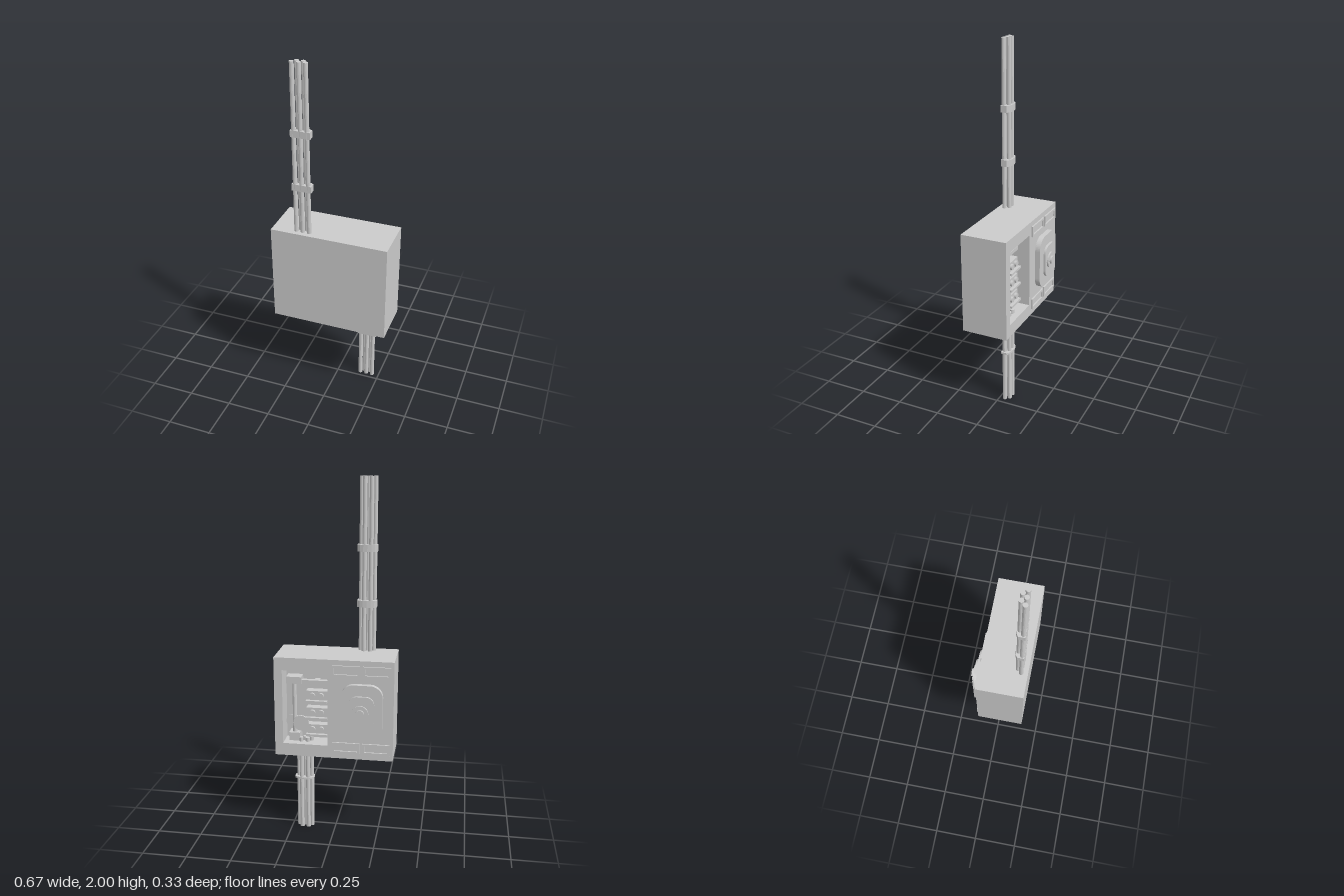
import * as THREE from 'three';

const mat = new THREE.MeshStandardMaterial({ color: 0xcccccc, flatShading: true });

function add(parent, name, geo, x = 0, y = 0, z = 0) {
  const m = new THREE.Mesh(geo, mat);
  m.name = name;
  m.position.set(x, y, z);
  parent.add(m);
  return m;
}

// Box given by its min and max corners
function block(parent, name, x0, x1, y0, y1, z0, z1) {
  return add(parent, name, new THREE.BoxGeometry(x1 - x0, y1 - y0, z1 - z0),
    (x0 + x1) / 2, (y0 + y1) / 2, (z0 + z1) / 2);
}

function rectPath(path, x0, x1, y0, y1) {
  path.moveTo(x0, y0);
  path.lineTo(x1, y0);
  path.lineTo(x1, y1);
  path.lineTo(x0, y1);
  path.closePath();
  return path;
}

function extrude(shape, depth) {
  return new THREE.ExtrudeGeometry(shape, { depth, bevelEnabled: false, curveSegments: 6 });
}

// Rectangular frame lying in the xy plane
function frameGeo(outer, inner, depth) {
  const s = rectPath(new THREE.Shape(), ...outer);
  s.holes.push(rectPath(new THREE.Path(), ...inner));
  return extrude(s, depth);
}

// Rounded rectangle centred on the origin
function roundedPlate(w, h, r, depth) {
  const s = new THREE.Shape();
  const a = w / 2 - r, b = h / 2 - r;
  s.absarc(a, b, r, 0, Math.PI / 2);
  s.absarc(-a, b, r, Math.PI / 2, Math.PI);
  s.absarc(-a, -b, r, Math.PI, Math.PI * 1.5);
  s.absarc(a, -b, r, Math.PI * 1.5, Math.PI * 2);
  s.closePath();
  return extrude(s, depth);
}

// Disc facing the panel side
function disc(parent, name, r, x, y, z0, z1) {
  const g = new THREE.CylinderGeometry(r, r, z1 - z0, 20).rotateX(Math.PI / 2);
  return add(parent, name, g, x, y, (z0 + z1) / 2);
}

// Five wires: three in one row, two nested against them
function wireBundle(name, cx, z, y0, y1) {
  const g = new THREE.Group();
  g.name = name;
  const wires = [[-0.037, 0], [0, 0], [0.037, 0], [-0.018, -0.021], [0.018, -0.021]];
  for (const [dx, dz] of wires) {
    add(g, 'wire', new THREE.CylinderGeometry(0.0122, 0.0122, y1 - y0, 14), cx + dx, (y0 + y1) / 2, z + dz);
  }
  return g;
}

// Cable clip: flat on one side and arched on the other
function clip(parent, cx, z, y0, y1) {
  const s = new THREE.Shape();
  s.moveTo(-0.055, 0.012);
  s.lineTo(-0.055, -0.024);
  s.bezierCurveTo(-0.035, -0.047, 0.035, -0.047, 0.055, -0.024);
  s.lineTo(0.055, 0.012);
  s.closePath();
  const g = extrude(s, y1 - y0).rotateX(Math.PI / 2);
  add(parent, 'cableClip', g, cx, y1, z);
}

export function createModel() {
  const root = new THREE.Group();
  root.name = 'junctionBox';

  // Housing with an open compartment in the panel side
  const back = -0.102, floor = 0.012;
  const housing = new THREE.Group();
  housing.name = 'housing';
  root.add(housing);
  add(housing, 'panelWall', frameGeo([-0.333, 0.333, 0.465, 1.04], [0.033, 0.287, 0.537, 0.968], floor - back), 0, 0, back);
  block(housing, 'mountingSlab', -0.333, 0.333, 0.465, 1.04, floor, 0.163);

  // Label frames above and below the dial
  for (const [y0, y1] of [[0.948, 1.01], [0.5, 0.562]]) {
    for (const [x0, x1] of [[-0.315, -0.163], [-0.147, 0.008]]) {
      add(root, 'labelFrame', frameGeo([x0, x1, y0, y1], [x0 + 0.012, x1 - 0.012, y0 + 0.012, y1 - 0.012], 0.01), 0, 0, -0.111);
    }
  }

  // Stepped dial
  const dial = new THREE.Group();
  dial.name = 'dial';
  dial.position.set(-0.16, 0.755, 0);
  root.add(dial);
  add(dial, 'dialBase', roundedPlate(0.23, 0.31, 0.07, 0.03), 0, 0, -0.131);
  add(dial, 'dialNeck', roundedPlate(0.12, 0.17, 0.04, 0.006), 0, 0, -0.136);
  add(dial, 'dialPlate', roundedPlate(0.14, 0.19, 0.045, 0.012), 0, 0, -0.147);
  disc(dial, 'dialRing', 0.046, 0.006, 0, -0.156, -0.146);
  disc(dial, 'dialKnob', 0.024, 0.006, 0, -0.166, -0.155);

  // Terminal blocks with screws
  const inside = new THREE.Group();
  inside.name = 'terminals';
  root.add(inside);
  for (const y of [0.6, 0.7, 0.8]) {
    block(inside, 'terminalBlock', 0.045, 0.165, y - 0.033, y + 0.033, -0.035, floor);
    block(inside, 'terminalStep', 0.045, 0.165, y - 0.033, y - 0.02, -0.055, -0.035);
    for (const x of [0.08, 0.13]) disc(inside, 'terminalScrew', 0.017, x, y + 0.006, -0.048, -0.034);
  }
  block(inside, 'crossBar', 0.04, 0.2, 0.875, 0.895, -0.035, -0.01);
  block(inside, 'crossBarFoot', 0.09, 0.12, 0.875, 0.895, -0.01, floor);

  // Upright switch post with bracket, discs and foot
  add(inside, 'switchPost', new THREE.CylinderGeometry(0.012, 0.012, 0.36, 12), 0.232, 0.72, -0.03);
  block(inside, 'postBracket', 0.19, 0.275, 0.875, 0.915, -0.05, floor);
  block(inside, 'postFoot', 0.2, 0.262, 0.537, 0.585, -0.055, floor);
  disc(inside, 'contactDisc', 0.045, 0.195, 0.64, -0.045, -0.035);
  disc(inside, 'contactDisc', 0.04, 0.245, 0.64, -0.018, -0.008);

  // Upper cables with two clips
  const upper = wireBundle('upperCables', -0.158, 0.125, 1.0, 2.0);
  root.add(upper);
  clip(upper, -0.156, 0.125, 1.6, 1.638);
  clip(upper, -0.156, 0.125, 1.292, 1.33);

  // Lower cables with a thin clip
  const lower = wireBundle('lowerCables', 0.173, -0.032, 0, 0.56);
  root.add(lower);
  clip(lower, 0.176, -0.03, 0.306, 0.317);

  return root;
}
